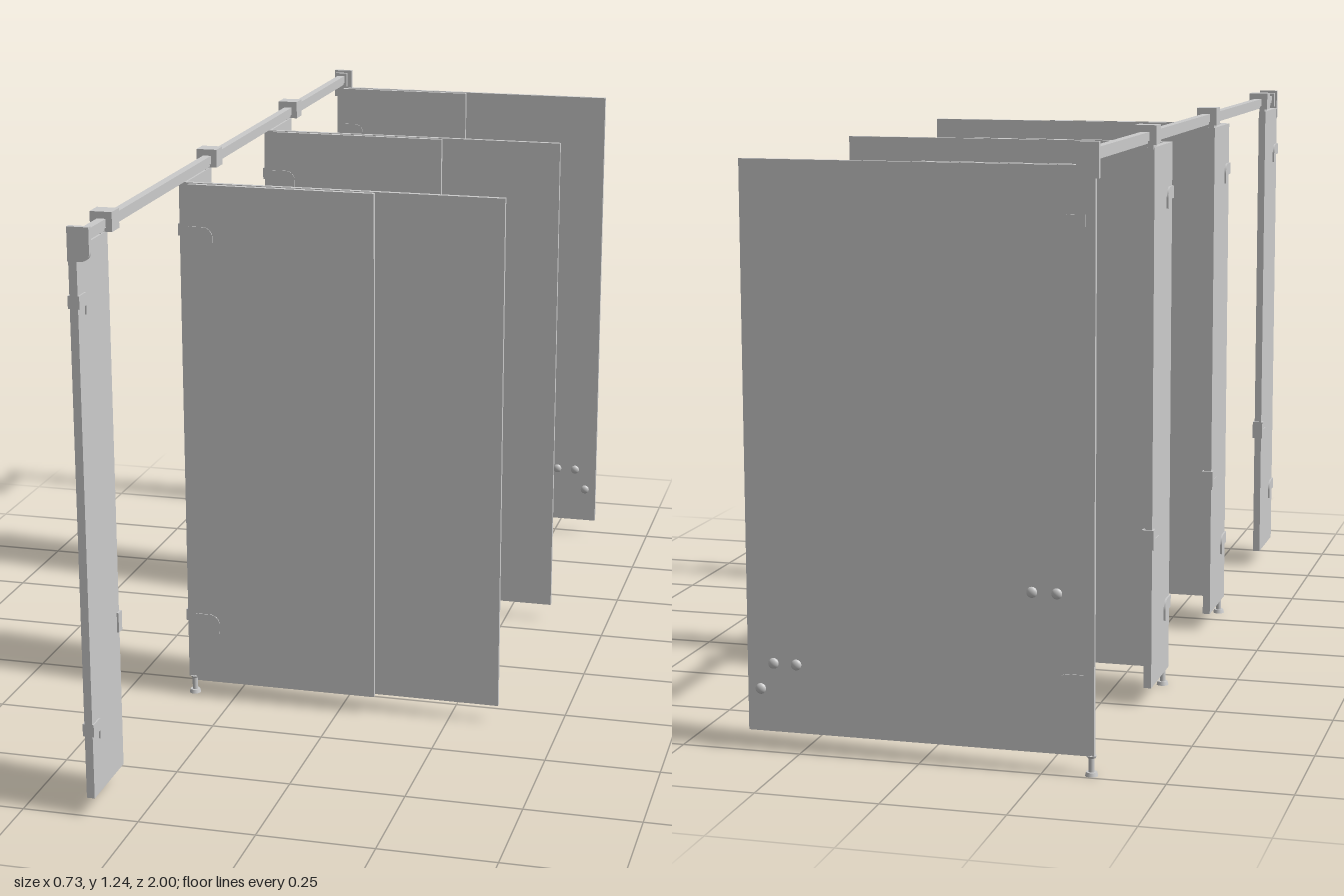
import * as THREE from 'three';

const material = new THREE.MeshStandardMaterial({ color: 0xcccccc });

const Y0 = 0.04, Y1 = 1.19;   // panel bottom and top
const RAIL_X = -0.341;
const PANEL = 0.011;          // panel thickness

export function createModel() {
  const root = new THREE.Group();

  function add(name, geometry, x, y, z, parent = root) {
    const mesh = new THREE.Mesh(geometry, material);
    mesh.name = name;
    mesh.position.set(x, y, z);
    parent.add(mesh);
    return mesh;
  }

  // box given by its lower and upper limits on each axis
  function slab(name, x0, x1, y0, y1, z0, z1, parent) {
    return add(name, new THREE.BoxGeometry(x1 - x0, y1 - y0, z1 - z0),
      (x0 + x1) / 2, (y0 + y1) / 2, (z0 + z1) / 2, parent);
  }

  // hinge plate with one rounded upper corner, reaching along local +x
  function hingePlate(depth) {
    const w = 0.055, h = 0.045, r = 0.022;
    const s = new THREE.Shape();
    s.moveTo(0, h / 2);
    s.lineTo(w - r, h / 2);
    s.absarc(w - r, h / 2 - r, r, Math.PI / 2, 0, true);
    s.lineTo(w, -h / 2);
    s.lineTo(w - 0.018, -h / 2);
    s.lineTo(w - 0.018, -0.004);
    s.lineTo(0, -0.004);
    return new THREE.ExtrudeGeometry(s, { depth, bevelEnabled: false, curveSegments: 8 });
  }

  // adjustable foot: rod, base disc and top collar
  function foot(x, z) {
    const g = new THREE.Group();
    g.name = 'foot';
    g.position.set(x, 0, z);
    root.add(g);
    add('footDisc', new THREE.CylinderGeometry(0.011, 0.013, 0.008, 20), 0, 0.004, 0, g);
    add('footRod', new THREE.CylinderGeometry(0.006, 0.006, 0.034, 16), 0, 0.025, 0, g);
    add('footCollar', new THREE.CylinderGeometry(0.01, 0.008, 0.005, 16), 0, 0.0385, 0, g);
  }

  // head rail with a narrower lower flange
  slab('headRail', RAIL_X - 0.009, RAIL_X + 0.009, 1.204, 1.222, -0.985, 0.99);
  slab('railFlange', RAIL_X - 0.006, RAIL_X + 0.006, 1.198, 1.204, -0.985, 0.99);

  // wall brackets at both rail ends, with a rounded lower corner
  const b = new THREE.Shape();
  b.moveTo(-0.361, 1.235);
  b.lineTo(-0.361, 1.166);
  b.lineTo(-0.335, 1.166);
  b.quadraticCurveTo(-0.316, 1.168, -0.316, 1.185);
  b.lineTo(-0.316, 1.235);
  const bracket = new THREE.ExtrudeGeometry(b, { depth: 0.012, bevelEnabled: false });
  add('wallBracket', bracket, 0, 0, 0.988);
  add('wallBracket', bracket, 0, 0, -0.992);
  for (const z of [0.983, -0.977]) {
    slab('railSocket', -0.356, -0.326, 1.194, 1.229, z - 0.008, z + 0.008);
  }

  // narrow front panels: hinge edge, free edge and rail clamp
  for (const [zh, zf, zc] of [[0.998, 0.823, 0.84], [0.326, 0.147, 0.162], [-0.323, -0.5, -0.486]]) {
    slab('frontPanel', -0.36, -0.343, Y0, Y1, zf, zh);
    slab('railClamp', -0.365, -0.319, 1.196, 1.236, zc - 0.021, zc + 0.021);
    slab('clampFoot', -0.358, -0.345, 1.186, 1.2, zc - 0.016, zc + 0.016);
    for (const y of [1.075, 0.18]) {
      add('panelHinge', hingePlate(0.024), -0.364, y, zh).rotation.y = Math.PI / 2;
    }
    // latch keep wrapping the free edge
    slab('latchKeep', -0.364, -0.339, 0.342, 0.385, zf - 0.006, zf + 0.014);
    slab('latchStrip', -0.362, -0.358, 0.356, 0.361, zf + 0.01, zf + 0.06);
  }

  // dividing panels, each with an open door folded against its front
  for (const [z, doorEnd, isEnd] of [[0.322, 0.081, false], [-0.327, 0.081, false], [-0.984, -0.003, true]]) {
    const t = PANEL / 2, zd = z + 0.019;
    slab('dividingPanel', isEnd ? -0.354 : -0.343, 0.361, Y0, Y1, z - t, z + t);
    slab('door', -0.333, doorEnd, Y0, Y1, zd - t, zd + t);
    const back = isEnd ? z - 0.0075 : z + 0.004;
    for (const y of [1.075, 0.18]) {
      add('doorHinge', hingePlate(zd + 0.0075 - back), -0.334, y, back);
    }
    foot(-0.348, z);
  }

  // round knobs through the end panel
  for (const [x, y] of [[-0.28, 0.362], [-0.23, 0.362], [0.257, 0.182], [0.305, 0.182], [0.333, 0.128]]) {
    const g = new THREE.Group();
    g.name = 'knob';
    g.position.set(x, y, -0.984);
    root.add(g);
    add('knobPin', new THREE.CylinderGeometry(0.005, 0.005, 0.022, 12), 0, 0, 0, g).rotation.x = Math.PI / 2;
    for (const side of [-1, 1]) {
      add('knobHead', new THREE.SphereGeometry(0.011, 18, 12), 0, 0, side * 0.0095, g).scale.z = 0.6;
    }
  }

  return root;
}
